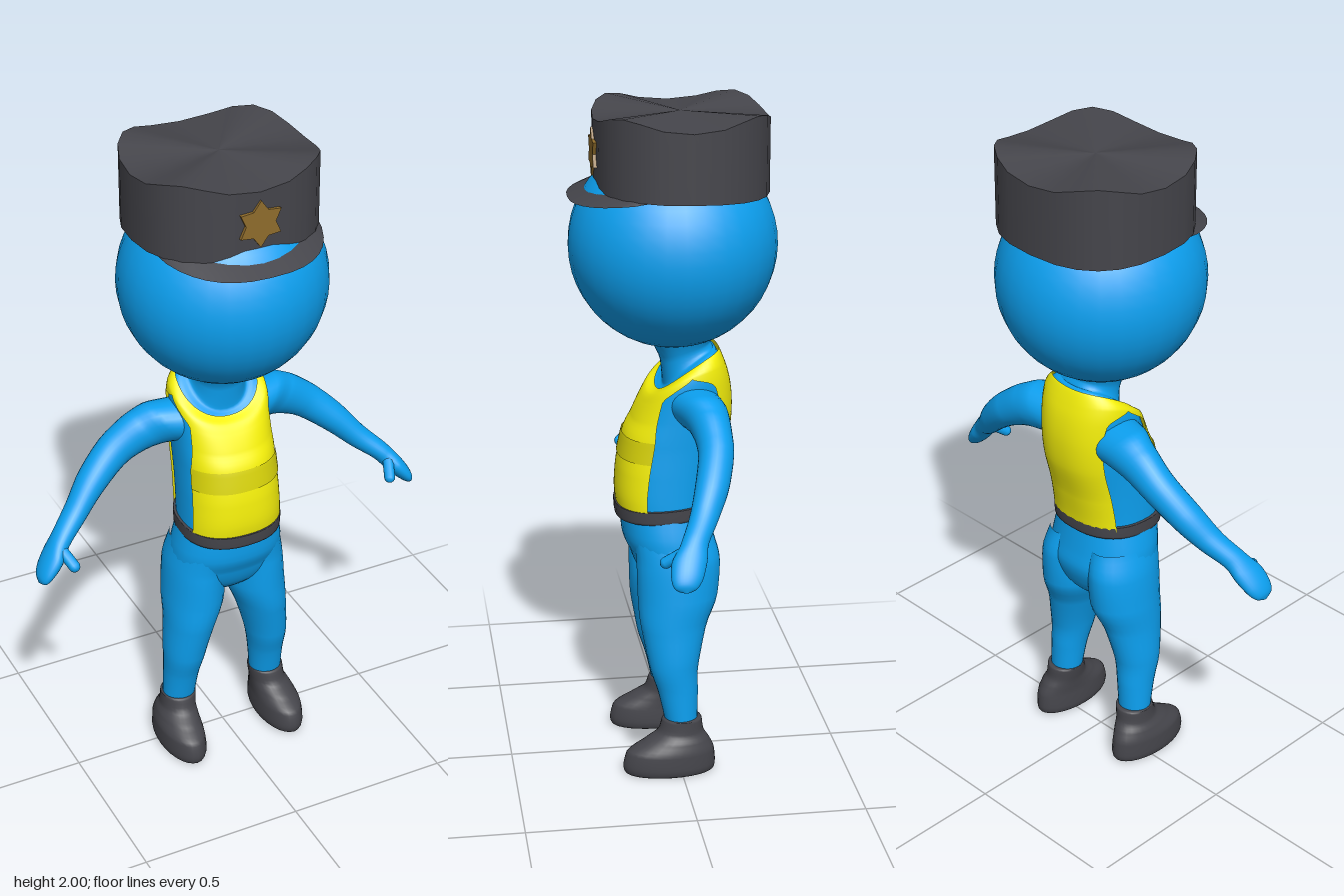
import * as THREE from 'three';
import { ParametricGeometry } from 'three/addons/geometries/ParametricGeometry.js';

const mat = (color, side = THREE.FrontSide) =>
  new THREE.MeshStandardMaterial({ color, side, roughness: 0.8 });
const skin = mat(0x0ca0f0);
const dark = mat(0x45454b, THREE.DoubleSide);
const yellow = mat(0xf5f00a, THREE.DoubleSide);
const bandYellow = mat(0xd8d30a, THREE.DoubleSide);
const gold = mat(0x8f6c2c);

// Smooth, overshoot-free interpolation through rows of numbers
function sample(rows, t) {
  const last = rows.length - 1;
  const i = Math.min(last - 1, Math.max(0, Math.floor(t)));
  const f = t - i;
  const slope = (a, b) => (a * b > 0 ? (2 * a * b) / (a + b) : 0);
  return rows[i].map((p, k) => {
    const q = rows[i + 1][k], d = q - p;
    const m0 = i > 0 ? slope(p - rows[i - 1][k], d) : d;
    const m1 = i + 2 <= last ? slope(d, rows[i + 2][k] - q) : d;
    const g = f * f;
    return p + m0 * (f - 2 * g + g * f) + m1 * (g * f - g) + (q - p) * (3 * g - 2 * g * f);
  });
}

const pow = (v, e) => Math.sign(v) * Math.abs(v) ** e;

// Level ring: [y, centre x, centre z, half width, half depth, forward tilt, side lift]
function ringPoint(r, a, target, e = 1, grow = 0) {
  const s = pow(Math.sin(a), e), c = pow(Math.cos(a), e);
  const [y, cx, cz, rx, rz, tilt = 0, lift = 0] = r;
  return target.set(cx + (rx + grow) * s, y - tilt * c + lift * s * s, cz + (rz + grow) * c);
}

// Inclined arm ring: [x, y, z, thickness radius, depth radius]
function armPoint(r, a, target) {
  const s = Math.sin(a) * r[3];
  return target.set(r[0] - 0.6 * s, r[1] - 0.8 * s, r[2] + r[4] * Math.cos(a));
}

// Closed skin through rows; side = -1 gives the mirrored copy
function loft(rows, point, side = 1, seg = 28, e = 1) {
  const last = rows.length - 1;
  return new ParametricGeometry((u, v, target) => {
    point(sample(rows, v * last), side * u * 2 * Math.PI, target, e);
    target.x *= side;
  }, seg, last * 4);
}

// Torso and neck rings; last two columns are the vest's front and back half angles
const torsoRows = [
  [0.78, 0, 0.027, 0.15, 0.13, 0, 0, 1.15, 0.95],
  [0.84, 0, 0.026, 0.148, 0.14, 0, 0, 1.15, 0.95],
  [0.92, 0, 0.017, 0.145, 0.146, 0, 0, 1.15, 0.95],
  [1.02, 0, -0.006, 0.142, 0.15, 0, 0, 1.12, 0.95],
  [1.10, 0, -0.025, 0.142, 0.14, 0.02, 0.005, 1.0, 0.95],
  [1.16, 0, -0.033, 0.142, 0.124, 0.035, 0.02, 0.98, 1.05],
  [1.195, 0, -0.036, 0.138, 0.108, 0.045, 0.03, 1.571, 1.571],
  [1.225, 0, -0.041, 0.113, 0.084, 0.06, 0.025, 1.571, 1.571],
  [1.235, 0, -0.043, 0.088, 0.073, 0.055, 0.02, 1.571, 1.571],
  [1.275, 0, -0.037, 0.08, 0.073, 0.03, 0.005, 1.571, 1.571],
  [1.34, 0, -0.02, 0.1, 0.1, 0, 0, 1.571, 1.571],
];
const pelvisRows = [
  [0.535, 0, -0.01, 0.004, 0.02], [0.56, 0, -0.01, 0.07, 0.07],
  [0.61, 0, -0.002, 0.15, 0.11], [0.66, 0, 0.002, 0.176, 0.127],
  [0.72, 0, 0.018, 0.171, 0.135], [0.82, 0, 0.028, 0.15, 0.13],
];
const legRows = [
  [0.15, 0.152, -0.005, 0.05, 0.048], [0.25, 0.147, 0.005, 0.055, 0.06],
  [0.34, 0.14, 0.017, 0.065, 0.075], [0.45, 0.122, 0.015, 0.077, 0.097],
  [0.55, 0.103, 0, 0.092, 0.12], [0.65, 0.098, -0.003, 0.088, 0.125],
  [0.74, 0.085, 0.012, 0.08, 0.12],
];
const shoeRows = [
  [0, 0.17, 0.035, 0.001, 0.001], [0.001, 0.17, 0.035, 0.06, 0.13],
  [0.025, 0.17, 0.035, 0.068, 0.14], [0.065, 0.17, 0.032, 0.066, 0.134],
  [0.1, 0.165, 0.012, 0.06, 0.1], [0.13, 0.157, -0.002, 0.054, 0.068],
  [0.168, 0.153, -0.006, 0.055, 0.058], [0.172, 0.153, -0.006, 0.045, 0.045],
];
const armRows = [
  [0.07, 1.13, -0.045, 0.085, 0.085], [0.15, 1.13, -0.06, 0.083, 0.075],
  [0.22, 1.115, -0.075, 0.07, 0.06], [0.30, 1.075, -0.08, 0.056, 0.052],
  [0.40, 0.995, -0.055, 0.046, 0.05], [0.47, 0.925, -0.02, 0.036, 0.043],
  [0.53, 0.875, 0.015, 0.03, 0.04], [0.565, 0.835, 0.035, 0.029, 0.05],
  [0.595, 0.8, 0.045, 0.024, 0.045], [0.613, 0.777, 0.05, 0.015, 0.03],
  [0.62, 0.767, 0.05, 0.001, 0.002],
];
const beltRows = [
  [0.788, 0, 0.028, 0.14, 0.125, 0.008], [0.79, 0, 0.028, 0.156, 0.146, 0.008],
  [0.828, 0, 0.028, 0.157, 0.149, 0.008], [0.83, 0, 0.028, 0.14, 0.13, 0.008],
];

// Vest patch lying just outside the torso, between two row positions
function vestPanel(back, t0, t1, grow) {
  return new ParametricGeometry((u, v, target) => {
    const r = sample(torsoRows, t0 + (t1 - t0) * v);
    const a = (back ? Math.PI : 0) + (2 * u - 1) * r[back ? 8 : 7];
    ringPoint(r, a, target, 0.85, grow);
    target.y += grow * 0.5;
  }, 24, Math.ceil((t1 - t0) * 5));
}

// Rounded-square cap outline
const capOutline = (a, k, y, target) =>
  target.set(0.268 * k * pow(Math.sin(a), 0.8), y, -0.022 + 0.25 * k * pow(Math.cos(a), 0.8));
const rimY = (a) => 1.983 - 0.017 * Math.cos(4 * a);
const baseY = (a) => 1.768 + 0.008 * Math.cos(a);

function createCap() {
  const cap = new THREE.Group();
  cap.name = 'cap';
  const surface = (name, fn, slices, stacks) => {
    const m = new THREE.Mesh(new ParametricGeometry(fn, slices, stacks), dark);
    m.name = name;
    cap.add(m);
  };
  surface('capWall', (u, v, p) => {
    const a = u * 2 * Math.PI;
    capOutline(a, 1, baseY(a) + (rimY(a) - baseY(a)) * v, p);
  }, 24, 1);
  surface('capTop', (u, v, p) => {
    const a = u * 2 * Math.PI, k = 1 - 0.999 * v;
    capOutline(a, k, 1.983 + (rimY(a) - 1.983) * k, p);
  }, 24, 4);
  surface('capUnderside', (u, v, p) => {
    const a = u * 2 * Math.PI;
    capOutline(a, 0.7 + 0.3 * v, baseY(a), p);
  }, 24, 1);
  // Crescent visor sloping forward and down
  surface('visor', (u, v, p) => {
    const a = (2 * u - 1) * 1.25;
    const k = Math.max(0, Math.cos((a / 1.25) * Math.PI / 2)) ** 0.6;
    capOutline(a, 0.98, 1.777, p);
    p.y -= 0.033 * k * v;
    p.z += 0.08 * k * v;
  }, 16, 2);
  // Plain six-pointed star badge
  const star = new THREE.Shape();
  for (let i = 0; i < 12; i++) {
    const r = i % 2 ? 0.045 : 0.07, a = (i * Math.PI) / 6;
    star[i ? 'lineTo' : 'moveTo'](r * Math.sin(a), r * Math.cos(a));
  }
  const badge = new THREE.Mesh(
    new THREE.ExtrudeGeometry(star, { depth: 0.02, bevelEnabled: false }), gold);
  badge.name = 'badge';
  badge.position.set(0, 1.873, 0.214);
  cap.add(badge);
  return cap;
}

export function createModel() {
  const model = new THREE.Group();
  model.name = 'figure';
  const add = (name, geometry, material) => {
    const m = new THREE.Mesh(geometry, material);
    m.name = name;
    model.add(m);
    return m;
  };

  // Head and trunk
  add('head', new THREE.SphereGeometry(0.303, 32, 24), skin).position.y = 1.6;
  add('torso', loft(torsoRows, ringPoint, 1, 36, 0.85), skin);
  add('pelvis', loft(pelvisRows, ringPoint, 1, 36, 0.9), skin);
  add('belt', loft(beltRows, ringPoint, 1, 36, 0.85), dark);

  // Vest: front and back panels joined by shoulder straps, with a chest band
  add('vestFront', vestPanel(false, 0.4, 7, 0.008), yellow);
  add('vestBack', vestPanel(true, 0.4, 7, 0.008), yellow);
  add('vestBand', vestPanel(false, 2.45, 3.12, 0.011), bandYellow);

  // Limbs
  for (const [label, s] of [['left', 1], ['right', -1]]) {
    add(label + 'Arm', loft(armRows, armPoint, s), skin);
    add(label + 'Leg', loft(legRows, ringPoint, s), skin);
    add(label + 'Shoe', loft(shoeRows, ringPoint, s), dark);
    const thumb = add(label + 'Thumb', new THREE.CapsuleGeometry(0.017, 0.055, 4, 12), skin);
    thumb.position.set(0.533 * s, 0.838, 0.074);
    thumb.quaternion.setFromUnitVectors(
      new THREE.Vector3(0, 1, 0), new THREE.Vector3(-0.3 * s, -0.55, 0.75).normalize());
  }

  model.add(createCap());
  return model;
}
